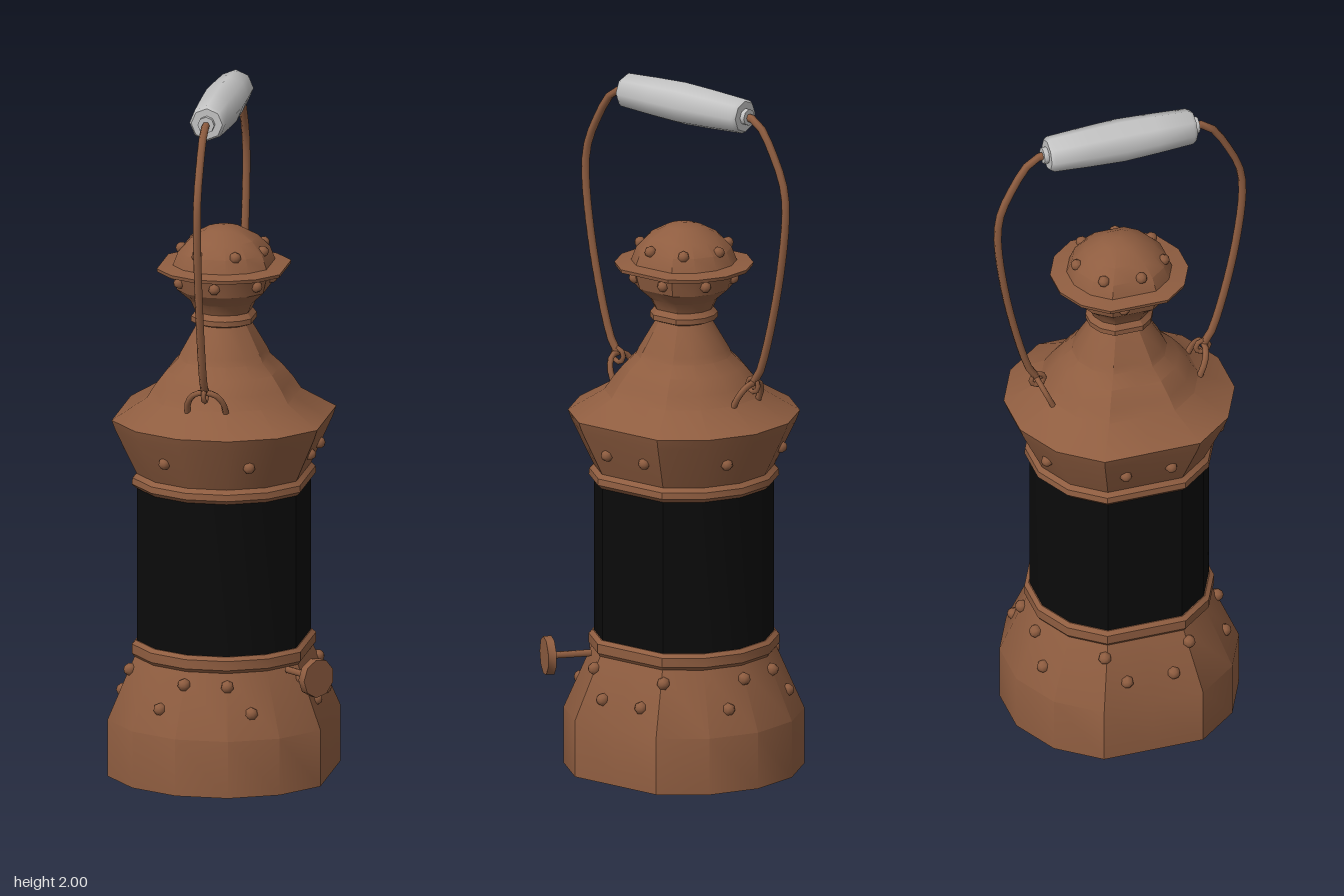
import * as THREE from 'three';
import { toCreasedNormals, mergeGeometries } from 'three/addons/utils/BufferGeometryUtils.js';

const CX = -0.023, CZ = -0.004, HX = -0.03; // body axis and handle plane
const STEP = Math.PI / 7;

export function createModel() {
  const copper = new THREE.MeshStandardMaterial({ color: 0x8f5d40 });
  copper.name = 'copper';
  const black = new THREE.MeshStandardMaterial({ color: 0x0b0b0b });
  black.name = 'blackGlass';
  const white = new THREE.MeshStandardMaterial({ color: 0xc4c4c4 });
  white.name = 'paleGrip';

  const lantern = new THREE.Group();
  lantern.name = 'lantern';

  const add = (name, geometry, material, parent = lantern) => {
    const mesh = new THREE.Mesh(geometry, material);
    mesh.name = name;
    parent.add(mesh);
    return mesh;
  };

  // Fourteen-sided turned part whose two side corners are pressed flat
  const turned = (name, profile, material) => {
    const g = new THREE.LatheGeometry(profile.map(([r, y]) => new THREE.Vector2(r, y)), 14, Math.PI / 2);
    const p = g.attributes.position;
    for (let i = 0; i < p.count; i++) {
      if (Math.abs(p.getZ(i)) < 1e-5) p.setX(i, p.getX(i) * Math.cos(STEP));
    }
    add(name, toCreasedNormals(g, 0.5), material).position.set(CX, 0, CZ);
  };

  // Distance from the axis to the flattened outline at a given angle
  const outline = (r, angle) => {
    const a = Math.acos(Math.abs(Math.cos(angle)));
    if (a < STEP) return r * Math.cos(STEP) / Math.cos(a);
    return r * Math.cos(STEP / 2) / Math.cos((a % STEP) - STEP / 2);
  };

  // Ring of small faceted rivets
  const rivets = (name, r, y, degrees, size) => {
    const parts = degrees.map((d) => {
      const a = THREE.MathUtils.degToRad(d), q = outline(r, a);
      const g = new THREE.SphereGeometry(size, 7, 5);
      g.rotateZ(-Math.PI / 2);
      g.rotateY(-a);
      return g.translate(CX + Math.cos(a) * q, y, CZ + Math.sin(a) * q);
    });
    add(name, mergeGeometries(parts), copper);
  };
  const mirrored = (list) => list.flatMap((d) => [d, 180 - d, 180 + d, -d]);
  const seven = (start) => Array.from({ length: 7 }, (_, i) => start + i * 360 / 7);

  // Base, glass and stepped top
  turned('base', [
    [0, 0], [0.341, 0], [0.341, 0.165], [0.262, 0.345],
    [0.270, 0.355], [0.270, 0.382], [0.258, 0.392], [0, 0.392],
  ], copper);
  turned('glass', [[0.255, 0.38], [0.255, 0.85]], black);
  turned('shoulderAndRoof', [
    [0, 0.838], [0.258, 0.838], [0.270, 0.85], [0.268, 0.868], [0.256, 0.88],
    [0.318, 1.01], [0.329, 1.04], [0.226, 1.10],
    [0.203, 1.135], [0.170, 1.175], [0.136, 1.207],
    [0.128, 1.225], [0.078, 1.31],
  ], copper);
  turned('chimney', [
    [0.078, 1.308], [0.096, 1.315], [0.096, 1.33], [0.084, 1.345],
    [0.098, 1.375], [0.138, 1.41], [0.150, 1.455],
    [0.195, 1.465], [0.197, 1.475], [0.150, 1.482],
    [0.135, 1.52], [0.100, 1.556], [0.050, 1.583], [0, 1.592],
  ], copper);

  rivets('lowerBaseRivets', 0.309, 0.235, mirrored([14, 64]), 0.019);
  rivets('upperBaseRivets', 0.278, 0.31, mirrored([27, 77]), 0.019);
  rivets('shoulderRivets', 0.290, 0.95, mirrored([14.5, 64.5]), 0.018);
  rivets('hoodRivets', 0.146, 1.437, seven(-64.3), 0.017);
  rivets('domeRivets', 0.130, 1.525, seven(-90), 0.017);

  // Wick knob sticking out at the front left corner
  const knob = new THREE.Group();
  knob.name = 'wickKnob';
  knob.position.set(0.2, 0.342, 0.167);
  knob.rotation.y = -0.66;
  lantern.add(knob);
  const shaft = new THREE.CylinderGeometry(0.01, 0.01, 0.12, 6).rotateZ(-Math.PI / 2);
  add('knobShaft', shaft, copper, knob).position.x = 0.05;
  const disc = toCreasedNormals(
    new THREE.CylinderGeometry(0.056, 0.056, 0.024, 9).rotateZ(-Math.PI / 2), 0.8);
  add('knobDisc', disc, copper, knob).position.x = 0.114;

  // Wire bail, hook and staple on each end
  const tube = (points, radius, segments) => {
    const curve = new THREE.CatmullRomCurve3(points.map((p) => new THREE.Vector3(...p)), false, 'centripetal');
    return new THREE.TubeGeometry(curve, segments, radius, 6);
  };
  for (const s of [1, -1]) {
    const end = new THREE.Group();
    end.name = s > 0 ? 'frontBail' : 'backBail';
    end.position.set(HX, 0, CZ);
    lantern.add(end);
    add('bailWire', tube([
      [0, 1.165, s * 0.25], [0, 1.2, s * 0.272], [0, 1.5, s * 0.346], [0, 1.73, s * 0.363],
      [0, 1.835, s * 0.325], [0, 1.93, s * 0.26], [0, 1.943, s * 0.2],
    ], 0.0115, 20), copper, end);
    const hook = add('bailHook', new THREE.TorusGeometry(0.02, 0.008, 5, 8), copper, end);
    hook.rotation.y = Math.PI / 2;
    hook.position.set(0, 1.155, s * 0.246);
    add('staple', tube([
      [-0.056, 1.09, s * 0.217], [-0.05, 1.13, s * 0.235], [-0.025, 1.158, s * 0.248],
      [0.025, 1.158, s * 0.248], [0.05, 1.13, s * 0.235], [0.056, 1.09, s * 0.217],
    ], 0.009, 12), copper, end);
  }

  // Barrel-shaped grip with a collar on each end
  const gripProfile = [
    [0, -0.232], [0.024, -0.232], [0.024, -0.218], [0.045, -0.218], [0.052, -0.207],
    [0.058, -0.1], [0.062, 0], [0.058, 0.1], [0.052, 0.207], [0.045, 0.218],
    [0.024, 0.218], [0.024, 0.232], [0, 0.232],
  ].map(([r, y]) => new THREE.Vector2(r, y));
  const grip = new THREE.LatheGeometry(gripProfile, 8).rotateX(Math.PI / 2);
  add('grip', toCreasedNormals(grip, 0.9), white).position.set(HX, 1.94, CZ);

  return lantern;
}
